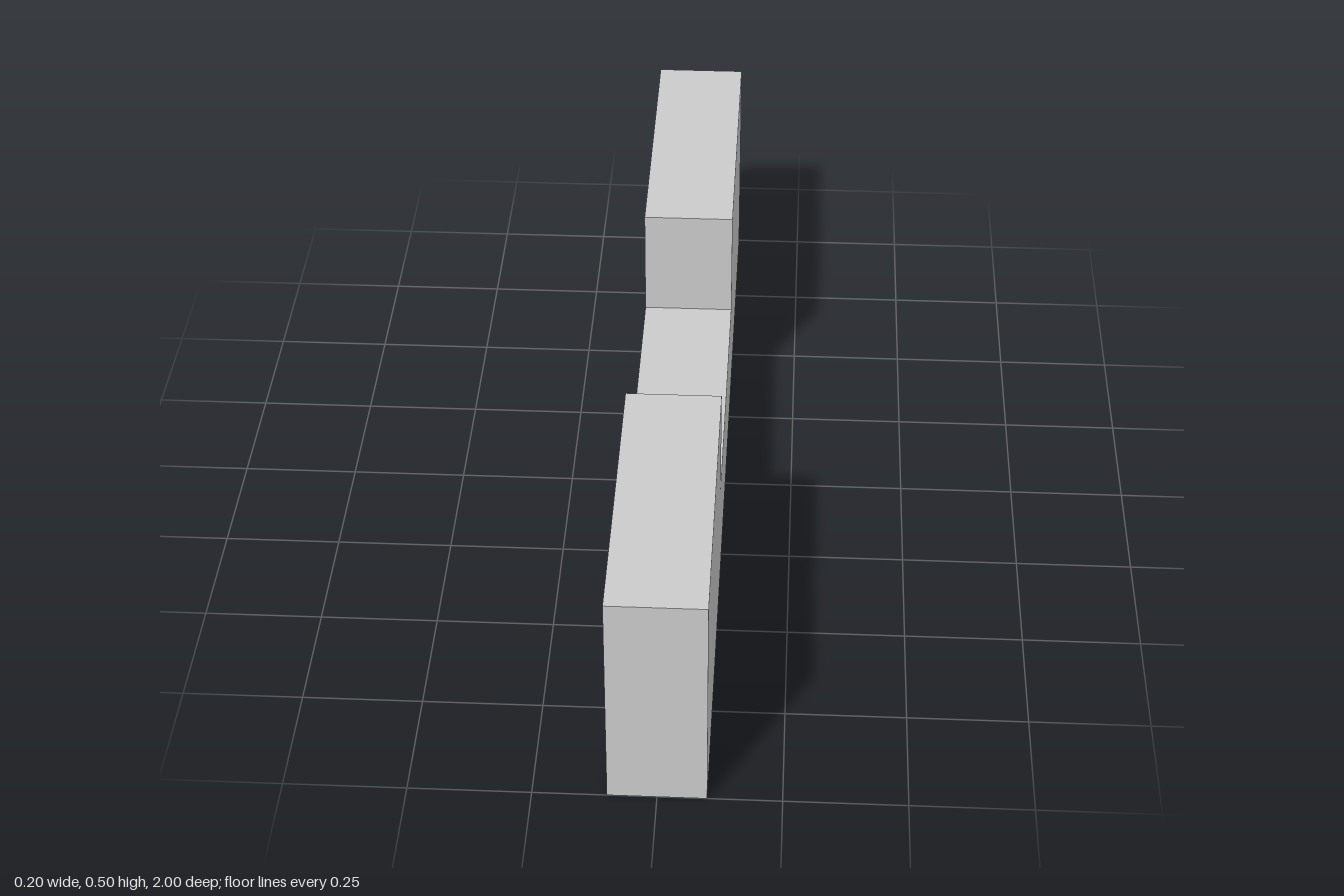
import * as THREE from 'three';

export function createModel() {
  const length = 2, height = 0.5, thickness = 0.2;
  const notchHalf = length / 6, notchFloor = 0.25;

  // Side profile of the bar: a rectangle with a notch in the middle of its top
  const half = length / 2;
  const profile = new THREE.Shape([
    [-half, 0], [half, 0], [half, height], [notchHalf, height],
    [notchHalf, notchFloor], [-notchHalf, notchFloor],
    [-notchHalf, height], [-half, height],
  ].map(([z, y]) => new THREE.Vector2(z, y)));

  // Extrude across the thickness, then turn the length onto the z axis
  const geometry = new THREE.ExtrudeGeometry(profile, { depth: thickness, bevelEnabled: false });
  geometry.translate(0, 0, -thickness / 2);
  geometry.rotateY(-Math.PI / 2);

  const bar = new THREE.Mesh(
    geometry,
    new THREE.MeshStandardMaterial({ color: 0xcccccc, flatShading: true }),
  );
  bar.name = 'notchedBar';

  const model = new THREE.Group();
  model.name = 'notchedBlock';
  model.add(bar);
  return model;
}
